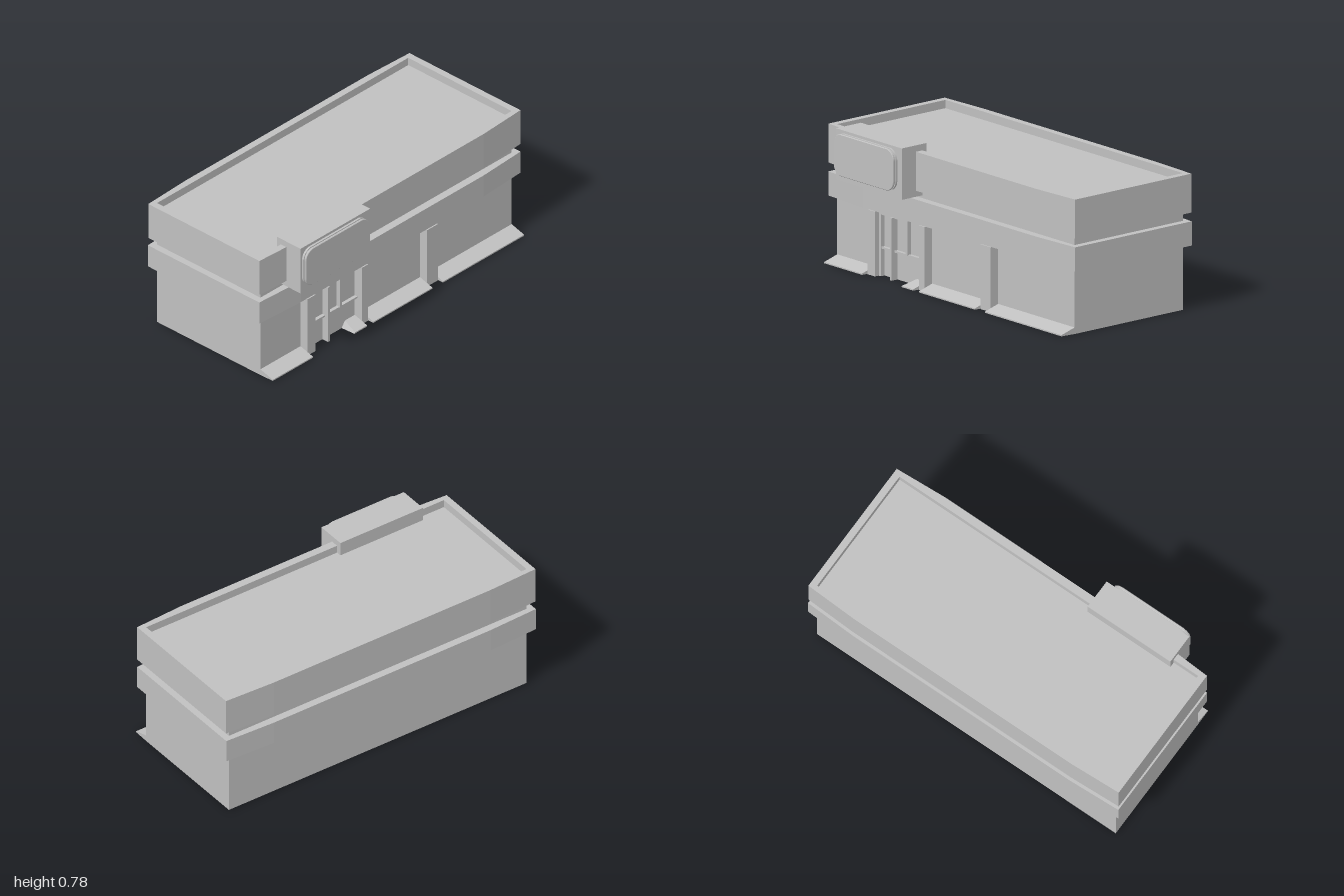
import * as THREE from 'three';

export function createModel() {
  const group = new THREE.Group();
  group.name = 'shopBuilding';
  const plaster = new THREE.MeshStandardMaterial({ color: 0xc0c0c0 });
  plaster.name = 'plaster grey';

  const add = (name, geometry) => {
    const mesh = new THREE.Mesh(geometry, plaster);
    mesh.name = name;
    group.add(mesh);
    return mesh;
  };
  // Box given by its extents
  const box = (name, x0, x1, y0, y1, z0, z1) =>
    add(name, new THREE.BoxGeometry(x1 - x0, y1 - y0, z1 - z0)
      .translate((x0 + x1) / 2, (y0 + y1) / 2, (z0 + z1) / 2));

  const wall = { x: 0.962, back: -0.437, front: 0.31 };
  box('mainBody', -wall.x, wall.x, 0, 0.7, wall.back, wall.front);

  // Overhanging bands, slightly bowed on the long sides and wrapped around the body
  const band = (name, y0, y1, back) => {
    const outline = [[-1, 0.338], [-0.7, 0.355], [0.7, 0.355], [1, 0.338],
      [1, back + 0.013], [0.7, back], [-0.7, back], [-1, back + 0.013]];
    const shape = new THREE.Shape(outline.map(([x, z]) => new THREE.Vector2(x, -z)));
    const { x, back: b, front: f } = wall;
    shape.holes.push(new THREE.Path(
      [[-x, b], [x, b], [x, f], [-x, f]].map(([px, z]) => new THREE.Vector2(px, -z))));
    const geometry = new THREE.ExtrudeGeometry(shape, { depth: y1 - y0, bevelEnabled: false });
    add(name, geometry.rotateX(-Math.PI / 2).translate(0, y0, 0));
  };
  band('lowerBand', 0.353, 0.485, -0.48);
  band('roofParapet', 0.533, 0.745, -0.477);

  // Pillars between the shop windows
  box('leftPillar', -0.655, -0.595, 0, 0.353, 0.3, 0.362);
  box('doorPillar', -0.24, -0.192, 0, 0.353, 0.3, 0.362);
  box('windowPillar', 0.26, 0.342, 0, 0.353, 0.3, 0.362);

  // Entrance frame
  box('doorFrameLeft', -0.595, -0.578, 0, 0.353, 0.3, 0.335);
  box('doorFrameTop', -0.578, -0.37, 0.337, 0.353, 0.3, 0.335);
  box('doorFrameRail', -0.578, -0.24, 0.15, 0.16, 0.3, 0.33);
  box('doorMullion', -0.487, -0.473, 0, 0.34, 0.3, 0.35);
  box('doorFrameRight', -0.378, -0.363, 0.155, 0.353, 0.3, 0.335);

  // Sloping sills along the pavement
  const ramp = (name, x0, x1, cut = 0) => {
    const shape = new THREE.Shape([[0.3, 0], [0.4, 0.003], [0.4, 0.01], [0.31, 0.036], [0.3, 0.036]]
      .map(([z, y]) => new THREE.Vector2(-z, y)));
    const geometry = new THREE.ExtrudeGeometry(shape, { depth: x1 - x0, bevelEnabled: false });
    geometry.rotateY(Math.PI / 2).translate(x0, 0, 0);
    const p = geometry.attributes.position;
    // Slant the left end so its top is shorter than its foot
    for (let i = 0; i < p.count; i++) {
      if (p.getX(i) < x0 + 0.001) p.setX(i, x0 + cut * p.getY(i));
    }
    geometry.computeVertexNormals();
    add(name, geometry);
  };
  ramp('leftSill', -wall.x, -0.655);
  ramp('doorSill', -0.34, -0.24, 0.7);
  ramp('middleSill', -0.192, 0.26);
  ramp('rightSill', 0.342, wall.x);

  // Sign box with a rounded, blank panel
  box('signBox', -0.805, -0.272, 0.5, 0.78, 0.28, 0.452);
  const panel = (name, inset, z, depth, bevel) => {
    const w = 0.243 - inset, h = 0.114 - inset, r = 0.06 - inset;
    const s = new THREE.Shape();
    s.moveTo(-w + r, -h);
    s.lineTo(w - r, -h).absarc(w - r, -h + r, r, -Math.PI / 2, 0);
    s.lineTo(w, h - r).absarc(w - r, h - r, r, 0, Math.PI / 2);
    s.lineTo(-w + r, h).absarc(-w + r, h - r, r, Math.PI / 2, Math.PI);
    s.lineTo(-w, -h + r).absarc(-w + r, -h + r, r, Math.PI, Math.PI * 1.5);
    const geometry = new THREE.ExtrudeGeometry(s, {
      depth, curveSegments: 8, bevelEnabled: bevel > 0, bevelSize: bevel,
      bevelThickness: bevel, bevelOffset: -bevel, bevelSegments: 1,
    });
    add(name, geometry.translate(-0.551, 0.651, z));
  };
  panel('signPanelBase', 0, 0.45, 0.014, 0);
  panel('signPanelGroove', 0.005, 0.46, 0.01, 0);
  panel('signPanelFace', 0, 0.47, 0.007, 0.003);

  return group;
}
